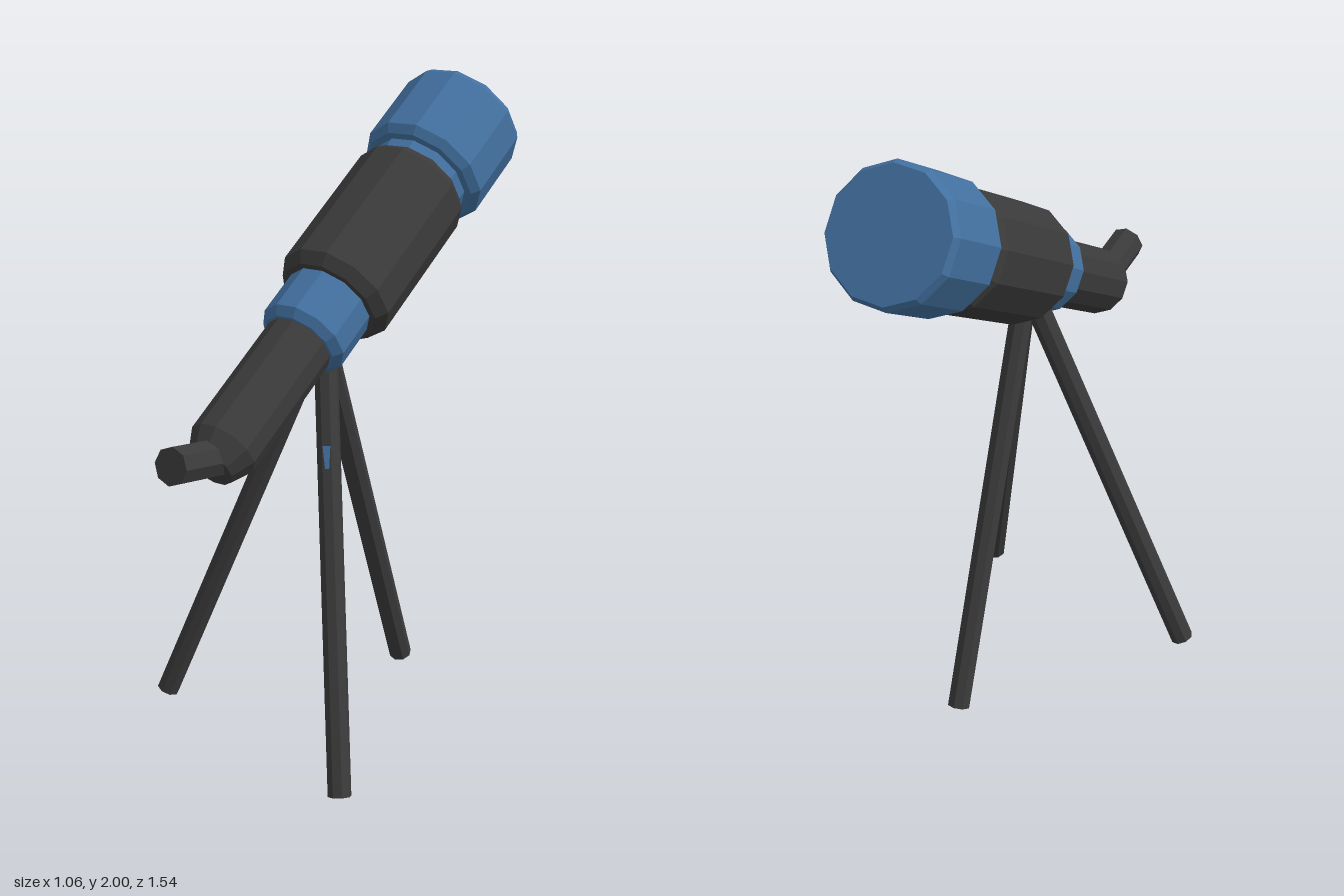
import * as THREE from 'three';

const blue = new THREE.MeshStandardMaterial({ color: 0x42709f });
blue.name = 'blue';
const charcoal = new THREE.MeshStandardMaterial({ color: 0x3a3a3a });
charcoal.name = 'charcoal';

const UP = new THREE.Vector3(0, 1, 0);

// Faceted mesh: every face keeps its own normal
function faceted(name, geometry, material) {
  const geo = geometry.index ? geometry.toNonIndexed() : geometry;
  geo.computeVertexNormals();
  const mesh = new THREE.Mesh(geo, material);
  mesh.name = name;
  return mesh;
}

// Closed turned part from [radius, height] pairs, bottom to top
function turned(name, profile, sides, material) {
  const points = profile.map(([r, y]) => new THREE.Vector2(r, y));
  points.unshift(new THREE.Vector2(0, profile[0][1]));
  points.push(new THREE.Vector2(0, profile[profile.length - 1][1]));
  return faceted(name, new THREE.LatheGeometry(points, sides, Math.PI / sides), material);
}

// Octagonal rod between two points
function rod(name, from, to, radius) {
  const a = new THREE.Vector3(...from), b = new THREE.Vector3(...to);
  const dir = b.clone().sub(a);
  const geo = new THREE.CylinderGeometry(radius, radius, dir.length(), 8, 1, false, Math.PI / 8);
  const mesh = faceted(name, geo, charcoal);
  mesh.position.copy(a).add(b).multiplyScalar(0.5);
  mesh.quaternion.setFromUnitVectors(UP, dir.normalize());
  return mesh;
}

export function createModel() {
  const model = new THREE.Group();
  model.name = 'telescope';

  // Optical tube, built along its own axis and then tilted up and turned
  const tube = new THREE.Group();
  tube.name = 'opticalTube';
  tube.add(
    turned('rearTube', [[0.075, -0.71], [0.109, -0.64], [0.109, -0.18]], 12, charcoal),
    turned('collar', [[0.118, -0.21], [0.141, -0.185], [0.141, 0.01]], 12, blue),
    turned('mainBarrel', [[0.16, -0.03], [0.187, 0.005], [0.187, 0.47], [0.165, 0.5]], 12, charcoal),
    turned('neck', [[0.162, 0.48], [0.162, 0.57]], 12, blue),
    turned('frontCap', [[0.185, 0.535], [0.206, 0.56], [0.206, 0.81], [0.193, 0.832]], 12, blue)
  );
  tube.position.set(0.057, 1.43, 0.005);
  tube.quaternion.setFromUnitVectors(UP, new THREE.Vector3(0.45, 0.595, -1).normalize());
  model.add(tube);

  // Angled eyepiece
  model.add(rod('eyepiece', [-0.14, 1.09, 0.46], [-0.269, 1.163, 0.742], 0.057));

  // Tripod
  const tripod = new THREE.Group();
  tripod.name = 'tripod';
  const frontLeg = rod('frontLeg', [0.18, 0.014, 0.56], [0.042, 1.26, 0.06], 0.037);
  tripod.add(
    frontLeg,
    rod('sideLeg', [-0.49, 0.024, 0.055], [0, 1.26, 0.058], 0.037),
    rod('backLeg', [0.23, 0.014, -0.34], [0.045, 1.26, 0.055], 0.037)
  );
  model.add(tripod);

  // Small tapered blue marker on the front leg
  const marker = new THREE.Shape();
  marker.moveTo(-0.012, 0.035);
  marker.lineTo(-0.006, -0.035);
  marker.lineTo(0.006, -0.035);
  marker.lineTo(0.012, 0.035);
  const plate = faceted('legMarker',
    new THREE.ExtrudeGeometry(marker, { depth: 0.004, bevelEnabled: false }), blue);
  plate.position.set(0, 0.36, 0.0325);
  frontLeg.add(plate);

  return model;
}
